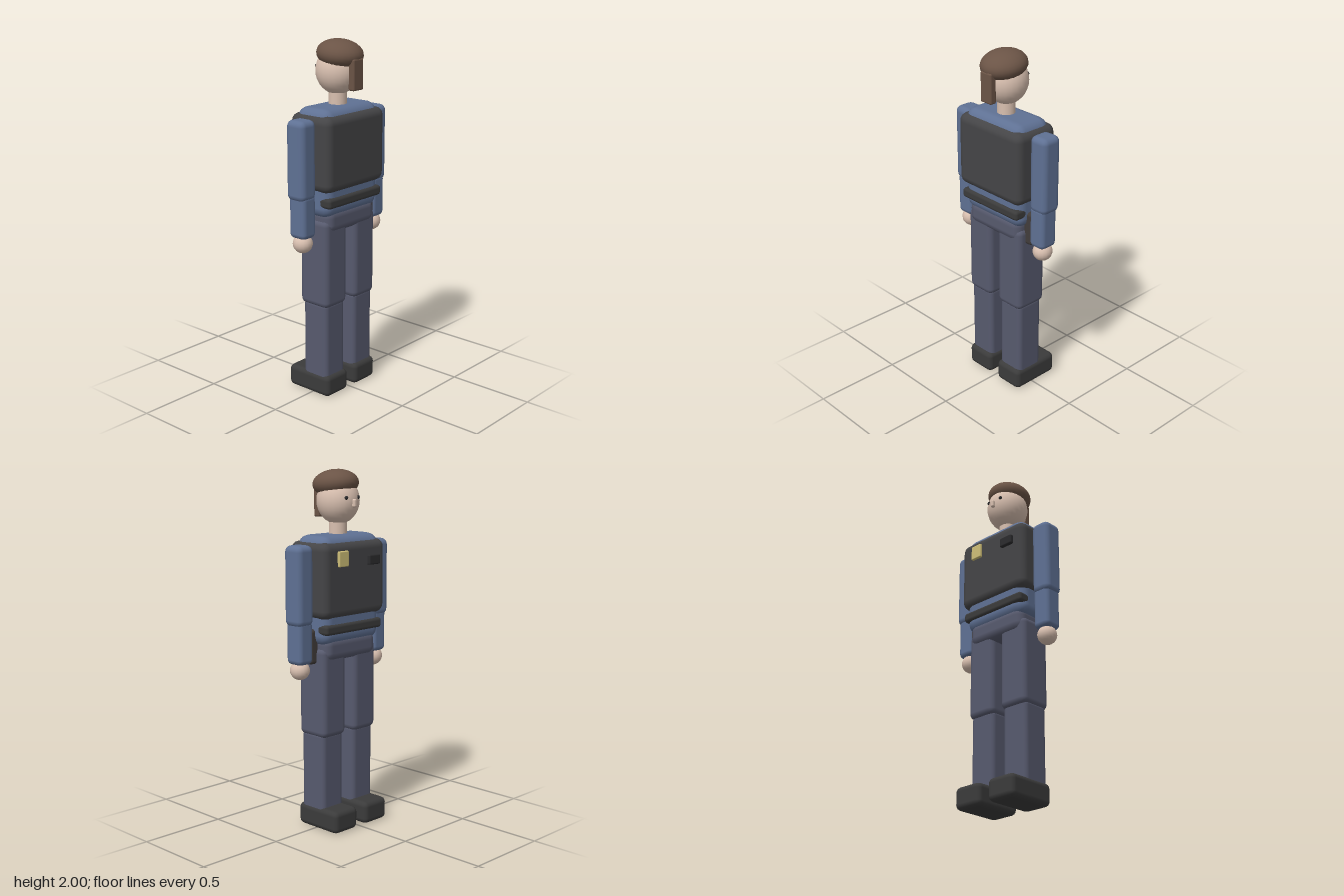
import * as THREE from 'three';
import { RoundedBoxGeometry } from 'three/addons/geometries/RoundedBoxGeometry.js';

const mat = (color) => new THREE.MeshStandardMaterial({ color });
const shirt = mat(0x5f7194), trousers = mat(0x575a6e), vest = mat(0x454547), boots = mat(0x3b3b3b);
const skin = mat(0xd9c0b0), hair = mat(0x6b5446), gold = mat(0xcfbf78), dark = mat(0x2c2c2e), leather = mat(0x423d3b);

function add(parent, name, geometry, material, x, y, z) {
  const mesh = new THREE.Mesh(geometry, material);
  mesh.name = name;
  mesh.position.set(x, y, z);
  parent.add(mesh);
  return mesh;
}

// Rounded box given by its ranges along x, y and z
function box(parent, name, material, [x0, x1], [y0, y1], [z0, z1], r, segments = 2) {
  const g = new RoundedBoxGeometry(x1 - x0, y1 - y0, z1 - z0, segments, r);
  return add(parent, name, g, material, (x0 + x1) / 2, (y0 + y1) / 2, (z0 + z1) / 2);
}

function ball(parent, name, material, x, y, z, rx, ry, rz, w = 24, h = 16) {
  const g = new THREE.SphereGeometry(1, w, h);
  g.scale(rx, ry, rz);
  return add(parent, name, g, material, x, y, z);
}

// Centred range of a given width
const span = (c, w) => [c - w / 2, c + w / 2];

export function createModel() {
  const model = new THREE.Group();
  model.name = 'standingOfficer';

  // Legs and arms, one of each per side
  for (const s of [1, -1]) {
    const leg = new THREE.Group();
    leg.name = 'leg';
    const lx = s * 0.119;
    box(leg, 'boot', boots, span(lx, 0.181), [0, 0.127], [-0.172, 0.13], 0.03);
    box(leg, 'shin', trousers, span(lx, 0.164), [0.08, 0.56], [-0.063, 0.11], 0.03);
    box(leg, 'thigh', trousers, span(lx, 0.181), [0.53, 1.04], [-0.08, 0.122], 0.035);

    const arm = new THREE.Group();
    arm.name = 'arm';
    box(arm, 'upperArm', shirt, span(s * 0.295, 0.118), [1.165, 1.605], [-0.043, 0.084], 0.035);
    box(arm, 'forearm', shirt, span(s * 0.29, 0.105), [0.955, 1.2], [-0.034, 0.08], 0.028);
    ball(arm, 'hand', skin, s * 0.29, 0.922, 0.023, 0.054, 0.054, 0.056, 16, 12);
    model.add(leg, arm);
  }

  // Trunk and equipment
  box(model, 'pelvis', trousers, [-0.197, 0.197], [0.96, 1.1], [-0.095, 0.132], 0.05);
  box(model, 'shirtBody', shirt, [-0.22, 0.22], [1.05, 1.65], [-0.102, 0.138], 0.06);
  box(model, 'vest', vest, [-0.241, 0.241], [1.2, 1.618], [-0.122, 0.164], 0.048);
  box(model, 'belt', boots, [-0.218, 0.218], [1.115, 1.172], [-0.115, 0.155], 0.018);
  box(model, 'holster', leather, [0.19, 0.254], [0.95, 1.145], [-0.025, 0.075], 0.02);
  box(model, 'badge', gold, [0.07, 0.143], [1.485, 1.57], [-0.137, -0.11], 0.006);
  box(model, 'radio', dark, [-0.173, -0.087], [1.48, 1.535], [-0.142, -0.11], 0.008);

  // Head
  const head = new THREE.Group();
  head.name = 'head';
  add(head, 'neck', new THREE.CylinderGeometry(0.05, 0.05, 0.13, 20), skin, 0, 1.68, 0.02);
  ball(head, 'skull', skin, 0, 1.83, 0.018, 0.116, 0.13, 0.122);
  ball(head, 'hairCap', hair, 0, 1.921, 0.036, 0.122, 0.078, 0.133).rotation.x = 0.1;
  box(head, 'ponytail', hair, [-0.041, 0.041], [1.735, 1.905], [0.128, 0.169], 0.01);
  box(head, 'nose', skin, [-0.011, 0.011], [1.797, 1.842], [-0.119, -0.085], 0.009);
  for (const s of [1, -1]) ball(head, 'eye', dark, s * 0.045, 1.849, -0.09, 0.011, 0.011, 0.01, 12, 8);
  model.add(head);

  return model;
}
